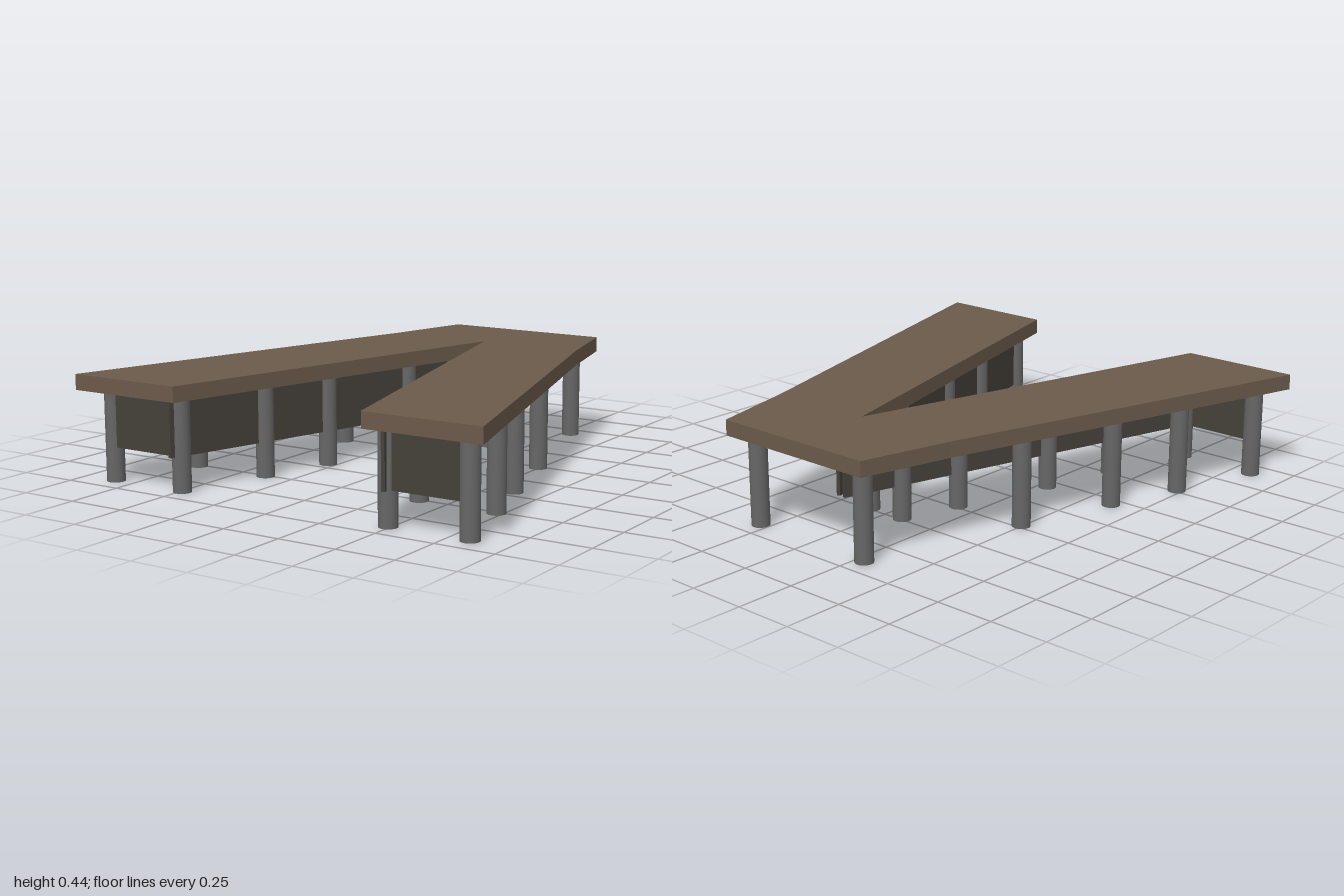
import * as THREE from 'three';

const SLAB_BOTTOM = 0.38, SLAB_TOP = 0.445, PANEL_BOTTOM = 0.145;

export function createModel() {
  const group = new THREE.Group();
  const mat = (name, color) => {
    const m = new THREE.MeshStandardMaterial({ color });
    m.name = name;
    return m;
  };
  const wood = mat('brown wood', 0x6b5a4a);
  const metal = mat('grey metal', 0x666666);
  const board = mat('dark board', 0x45413a);

  const add = (name, geometry, material) => {
    const mesh = new THREE.Mesh(geometry, material);
    mesh.name = name;
    group.add(mesh);
    return mesh;
  };

  // V-shaped table top, outline given as [x, z]
  const half = [[0.37, -1], [0.465, -0.62], [0.95, 1], [0.44, 1]];
  const outline = [...half, [0, -0.62], ...half.map(([x, z]) => [-x, z]).reverse()];
  const shape = new THREE.Shape(outline.map(([x, z]) => new THREE.Vector2(x, -z)));
  const slab = new THREE.ExtrudeGeometry(shape, { depth: SLAB_TOP - SLAB_BOTTOM, bevelEnabled: false });
  slab.rotateX(-Math.PI / 2);
  add('tableTop', slab, wood).position.y = SLAB_BOTTOM;

  // Upright panel running between two floor points
  const panel = (name, x1, z1, x2, z2) => {
    const height = SLAB_BOTTOM - PANEL_BOTTOM;
    const length = Math.hypot(x2 - x1, z2 - z1);
    const mesh = add(name, new THREE.BoxGeometry(length, height, 0.015), board);
    mesh.position.set((x1 + x2) / 2, PANEL_BOTTOM + height / 2, (z1 + z2) / 2);
    mesh.rotation.y = -Math.atan2(z2 - z1, x2 - x1);
  };

  // Legs: outer row, inner row and one at each back corner
  const legs = [
    [0.84, 0.9], [0.725, 0.515], [0.62, 0.195], [0.495, -0.23],
    [0.49, 0.9], [0.375, 0.51], [0.288, 0.19], [0.163, -0.235], [0.088, -0.49],
    [0.29, -0.91],
  ];
  const legGeometry = new THREE.CylinderGeometry(0.038, 0.038, SLAB_BOTTOM, 24);

  for (const [side, s] of [['left', 1], ['right', -1]]) {
    for (const [x, z] of legs) {
      add(side + 'Leg', legGeometry, metal).position.set(s * x, SLAB_BOTTOM / 2, z);
    }
    panel(side + 'InnerPanel', s * 0.504, 0.955, s * 0.015, -0.743);
    panel(side + 'FrontPanel', s * 0.49, 0.915, s * 0.82, 0.915);
  }
  return group;
}
